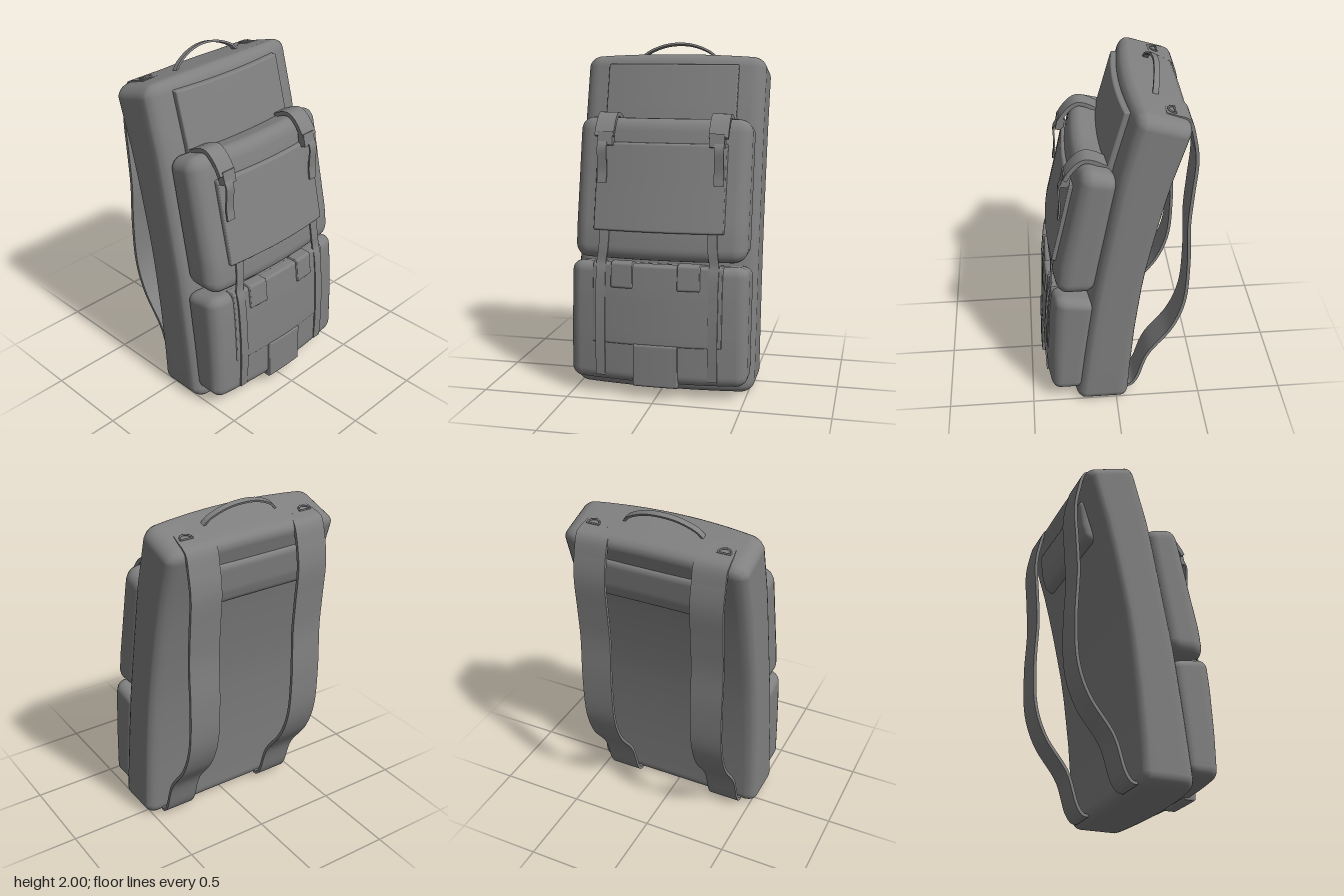
import * as THREE from 'three';
import { mergeVertices, toCreasedNormals } from 'three/addons/utils/BufferGeometryUtils.js';

const material = new THREE.MeshStandardMaterial({ color: 0x808080 });

// piecewise-linear lookup through [y, z] pairs
function profile(pairs) {
  return (y) => {
    let i = 0;
    while (i < pairs.length - 2 && y > pairs[i + 1][0]) i++;
    const [y0, z0] = pairs[i], [y1, z1] = pairs[i + 1];
    return z0 + ((z1 - z0) * (y - y0)) / (y1 - y0);
  };
}

// how far the front surfaces fall back from the centre towards the sides
const sag = (x) => 0.05 * (x / 0.53) ** 2;

// spread grid lines so the rounded edges get enough of them
function spread(s, half, r) {
  const a = Math.abs(s), inner = half - r;
  const v = a <= 0.6 ? (inner * a) / 0.6 : inner + r * Math.tan((((a - 0.6) / 0.4) * Math.PI) / 4);
  return Math.sign(s) * v;
}

// Soft padded block between a back and a front profile, with elliptical edges
function pad(name, { x0, x1, y0, y1, back, front, r, backSag = 0, topSlope = 0, topSag = 0 }) {
  const half = [(x1 - x0) / 2, (y1 - y0) / 2, Math.abs(front((y0 + y1) / 2) - back((y0 + y1) / 2)) / 2];
  const rad = r.map((v, i) => Math.min(v, half[i] * 0.98));
  let geo = new THREE.BoxGeometry(2, 2, 2, 20, 20, 10);
  geo.deleteAttribute('uv');
  geo.deleteAttribute('normal');
  const pos = geo.attributes.position;
  for (let i = 0; i < pos.count; i++) {
    const p = [pos.getX(i), pos.getY(i), pos.getZ(i)].map((s, k) => spread(s, half[k], rad[k]));
    const q = p.map((v, k) => THREE.MathUtils.clamp(v, rad[k] - half[k], half[k] - rad[k]));
    const d = p.map((v, k) => (v - q[k]) / rad[k]);
    const len = Math.hypot(...d) || 1;
    const [lx, ly, lz] = q.map((v, k) => v + (d[k] / len) * rad[k]);
    const x = lx + (x0 + x1) / 2;
    const w = (lz / half[2] + 1) / 2, v = (ly / half[1] + 1) / 2;
    const y = ly + (y0 + y1) / 2 - v ** 3 * (topSlope * (1 - w) + topSag * (x / 0.53) ** 2);
    const zf = front(y) - sag(x), zb = back(y) - backSag * sag(x);
    pos.setXYZ(i, x, y, zb + (zf - zb) * w);
  }
  geo = mergeVertices(geo, 1e-5);
  geo.computeVertexNormals();
  const mesh = new THREE.Mesh(geo, material);
  mesh.name = name;
  return mesh;
}

// Flat strap swept along a path; across is its width direction
function strap(name, points, across, width, thickness, steps = 40) {
  const curve = new THREE.CatmullRomCurve3(points.map((p) => new THREE.Vector3(...p)), false, 'centripetal');
  const verts = [], index = [];
  const widthAt = typeof width === 'function' ? width : () => width;
  for (let i = 0; i <= steps; i++) {
    const c = curve.getPoint(i / steps), t = curve.getTangent(i / steps);
    const n = t.clone().cross(across).normalize();
    for (const [a, b] of [[1, 1], [-1, 1], [-1, -1], [1, -1]]) {
      const p = c.clone().addScaledVector(across, (a * widthAt(i / steps)) / 2).addScaledVector(n, (b * thickness) / 2);
      verts.push(p.x, p.y, p.z);
    }
    if (i === steps) continue;
    for (let j = 0; j < 4; j++) {
      const a = i * 4 + j, b = i * 4 + ((j + 1) % 4);
      index.push(a, b, b + 4, a, b + 4, a + 4);
    }
  }
  const e = steps * 4;
  index.push(0, 3, 2, 0, 2, 1, e, e + 1, e + 2, e, e + 2, e + 3);
  const geo = new THREE.BufferGeometry();
  geo.setAttribute('position', new THREE.Float32BufferAttribute(verts, 3));
  geo.setIndex(index);
  const mesh = new THREE.Mesh(toCreasedNormals(geo, 0.7), material);
  mesh.name = name;
  return mesh;
}

export function createModel() {
  const bag = new THREE.Group();
  bag.name = 'backpack';
  const X = new THREE.Vector3(1, 0, 0);

  const bodyFront = profile([[0, 0.285], [0.4, 0.235], [0.8, 0.18], [1.2, 0.105], [1.55, 0.04], [1.93, -0.065]]);
  const bodyBack = profile([[0, -0.07], [0.2, -0.08], [0.55, -0.11], [0.9, -0.155], [1.2, -0.218], [1.48, -0.285], [1.83, -0.395]]);
  const upperFront = profile([[0.79, 0.38], [0.96, 0.36], [1.2, 0.305], [1.45, 0.25], [1.57, 0.22]]);
  const lowerFront = profile([[0.08, 0.425], [0.35, 0.42], [0.6, 0.405], [0.78, 0.385]]);
  const shift = (f, d) => (y) => f(y) + d;

  // main compartment
  bag.add(pad('mainBody', {
    x0: -0.535, x1: 0.535, y0: 0.003, y1: 1.945, back: bodyBack, front: bodyFront,
    r: [0.08, 0.07, 0.05], topSlope: 0.09, topSag: 0.02,
  }));

  // front panel above the pockets
  bag.add(pad('frontPanel', {
    x0: -0.385, x1: 0.385, y0: 1.0, y1: 1.875, back: shift(bodyFront, -0.02), front: shift(bodyFront, 0.032),
    r: [0.008, 0.008, 0.008], backSag: 1,
  }));

  // two stacked pockets, their tops sloping down towards the body
  bag.add(pad('upperPocket', {
    x0: -0.5, x1: 0.5, y0: 0.785, y1: 1.59, back: shift(bodyFront, -0.02), front: upperFront,
    r: [0.08, 0.08, 0.06], backSag: 1, topSlope: 0.05,
  }));
  bag.add(pad('lowerPocket', {
    x0: -0.515, x1: 0.515, y0: 0.085, y1: 0.775, back: shift(bodyFront, -0.03), front: lowerFront,
    r: [0.065, 0.06, 0.05], backSag: 1, topSlope: 0.04,
  }));

  // raised flaps on the pockets
  const flap = (name, x0, x1, y0, y1, surface, height) => bag.add(pad(name, {
    x0, x1, y0, y1, back: shift(surface, -0.06), front: shift(surface, height), r: [0.006, 0.015, 0.012], backSag: 1,
  }));
  flap('upperFlap', -0.375, 0.375, 0.955, 1.445, upperFront, 0.022);
  flap('lowerFlap', -0.375, 0.375, 0.31, 0.77, lowerFront, 0.006);
  flap('lowerFlapTongue', -0.13, 0.13, 0.072, 0.32, lowerFront, 0.012);

  // back pad between the shoulder straps
  bag.add(pad('backPad', {
    x0: -0.36, x1: 0.36, y0: 1.46, y1: 1.72,
    back: profile([[1.46, -0.325], [1.55, -0.355], [1.68, -0.372], [1.72, -0.375]]),
    front: shift(bodyBack, 0.05), r: [0.03, 0.04, 0.04],
  }));

  for (const s of [1, -1]) {
    const side = s > 0 ? 'left' : 'right';
    const at = (x, pts) => pts.map(([z, y]) => [s * x, y, z]);

    // shoulder strap, narrowing over the top of the body
    bag.add(strap(side + 'ShoulderStrap', [
      [s * 0.378, 1.88, -0.255], [s * 0.362, 1.866, -0.31],
      ...at(0.345, [
        [-0.375, 1.84], [-0.41, 1.73], [-0.428, 1.6], [-0.415, 1.4], [-0.403, 1.2], [-0.412, 0.92], [-0.395, 0.65],
        [-0.33, 0.47], [-0.19, 0.27], [-0.125, 0.08], [-0.09, 0.035], [-0.06, 0.03],
      ]),
    ], X, (t) => 0.1 + 0.09 * THREE.MathUtils.clamp(t / 0.14, 0, 1), 0.018, 80));

    // D-shaped ring at the strap anchor
    const ring = new THREE.Group();
    ring.name = side + 'AnchorRing';
    const arc = new THREE.Mesh(new THREE.TorusGeometry(0.036, 0.005, 8, 16, Math.PI), material);
    const bar = new THREE.Mesh(new THREE.CylinderGeometry(0.005, 0.005, 0.076, 8), material);
    arc.name = 'ringArc';
    bar.name = 'ringBar';
    bar.rotation.z = Math.PI / 2;
    ring.add(arc, bar);
    ring.position.set(s * 0.38, 1.88, -0.305);
    ring.rotation.x = Math.PI / 2 - 0.27;
    bag.add(ring);

    // wide strap over the upper pocket with its buckle and hanging tail
    bag.add(strap(side + 'PocketStrap', at(0.328, [
      [0.0, 1.535], [0.06, 1.56], [0.11, 1.585], [0.16, 1.595], [0.2, 1.575], [0.245, 1.525], [0.272, 1.48],
    ]), X, 0.11, 0.024, 24));
    const buckle = new THREE.Mesh(new THREE.BoxGeometry(0.085, 0.075, 0.045), material);
    buckle.name = side + 'Buckle';
    buckle.position.set(s * 0.32, 1.465, 0.265);
    buckle.rotation.x = -0.22;
    bag.add(buckle);
    bag.add(strap(side + 'BuckleTail', at(0.335, [
      [0.28, 1.46], [0.302, 1.42], [0.302, 1.34], [0.302, 1.28], [0.312, 1.22],
    ]), X, 0.055, 0.01, 16));

    // compression strap running down the lower pocket
    bag.add(strap(side + 'CompressionStrap', [
      [s * 0.31, 1.0, 0.34], [s * 0.31, 0.95, 0.35], [s * 0.315, 0.85, 0.362], [s * 0.325, 0.78, 0.366],
      [s * 0.325, 0.72, 0.382], [s * 0.325, 0.5, 0.404], [s * 0.325, 0.3, 0.411], [s * 0.325, 0.12, 0.407],
    ], X, 0.055, 0.01, 40));

    // small tabs joining the lower flap to the pocket top
    flap(side + 'FlapTab', s > 0 ? 0.12 : -0.265, s > 0 ? 0.25 : -0.135, 0.635, 0.78, lowerFront, 0.016);
  }

  // carry handle arching over the top
  bag.add(strap('carryHandle', [
    [-0.24, 1.885, -0.22], [-0.2, 1.93, -0.23], [-0.1, 1.975, -0.245], [0, 1.988, -0.252],
    [0.1, 1.975, -0.245], [0.2, 1.93, -0.23], [0.24, 1.885, -0.22],
  ], new THREE.Vector3(0, 0.3, 0.95).normalize(), 0.032, 0.012, 32));

  return bag;
}
